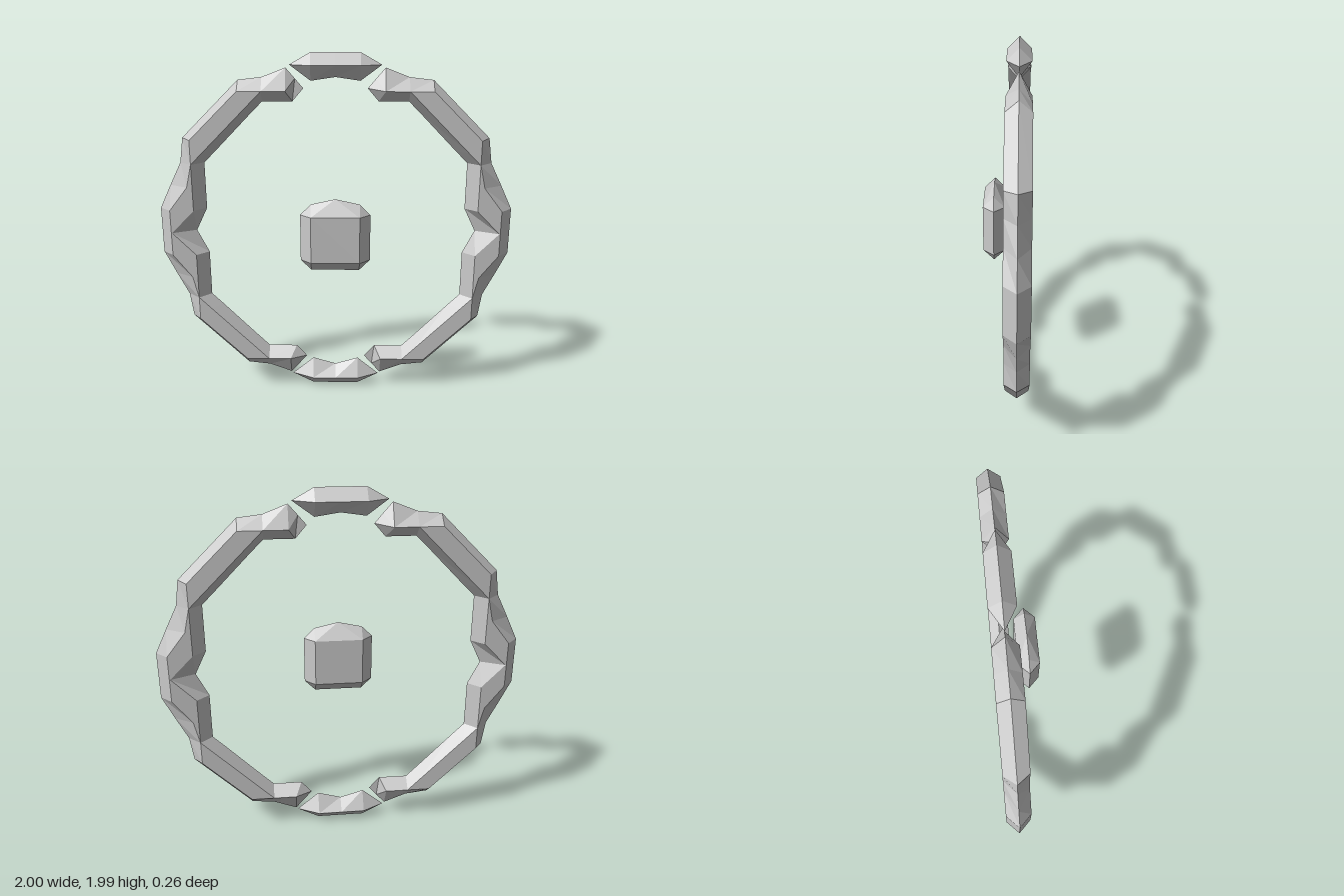
import * as THREE from 'three';
import { ConvexGeometry } from 'three/addons/geometries/ConvexGeometry.js';

const MID = -0.065; // middle plane of the ring
const material = new THREE.MeshStandardMaterial({ color: 0xcccccc, flatShading: true });

// Section: [inner x,y, inner ridge x,y, outer ridge x,y, outer x,y, half depth].
// Sections run clockwise as seen from the front.
function loft(sections) {
  const loops = sections.map(([ix, iy, ax, ay, bx, by, ox, oy, d]) => [
    [ix, iy, MID], [ax, ay, MID + d], [bx, by, MID + d],
    [ox, oy, MID], [bx, by, MID - d], [ax, ay, MID - d],
  ].map((p) => new THREE.Vector3(...p)));
  const out = [];
  const tri = (a, b, c) => {
    const area = b.clone().sub(a).cross(c.clone().sub(a)).length();
    if (area > 1e-7) for (const p of [a, b, c]) out.push(p.x, p.y, p.z);
  };
  for (let s = 0; s + 1 < loops.length; s++) {
    for (let j = 0; j < 6; j++) {
      const k = (j + 1) % 6;
      const a = loops[s][j], b = loops[s + 1][j], c = loops[s + 1][k], d = loops[s][k];
      tri(a, b, c);
      tri(a, c, d);
    }
  }
  const geometry = new THREE.BufferGeometry();
  geometry.setAttribute('position', new THREE.Float32BufferAttribute(out, 3));
  geometry.computeVertexNormals();
  return geometry;
}

const flipX = (s) => s.map((v, i) => (i < 8 && i % 2 === 0 ? -v : v));
const flipY = (s) => s.map((v, i) => (i < 8 && i % 2 === 1 ? 2.005 - v : v));

export function createModel() {
  const model = new THREE.Group();
  model.name = 'ringWithGem';
  const add = (name, geometry) => {
    const mesh = new THREE.Mesh(geometry, material);
    mesh.name = name;
    model.add(mesh);
  };

  // Side arcs: one quarter, mirrored down and across
  const D = 0.065;
  const quarter = [
    [0.175, 1.81, 0.22, 1.863, 0.22, 1.863, 0.27, 1.92, 0],
    [0.235, 1.74, 0.27, 1.80, 0.27, 1.80, 0.27, 1.92, D],
    [0.40, 1.74, 0.40, 1.80, 0.40, 1.80, 0.40, 1.87, D],
    [0.47, 1.67, 0.47, 1.73, 0.53, 1.80, 0.53, 1.855, D],
    [0.67, 1.465, 0.73, 1.47, 0.80, 1.535, 0.85, 1.54, D],
    [0.735, 1.40, 0.80, 1.40, 0.80, 1.40, 0.87, 1.40, D],
    [0.735, 1.27, 0.80, 1.27, 0.83, 1.27, 0.935, 1.27, D],
    [0.735, 1.135, 0.80, 1.135, 0.935, 1.135, 1.0, 1.135, D],
  ];
  const waist = [0.80, 1.0025, 0.93, 1.0025, 0.935, 1.0025, 1.0, 1.0025, D];
  const arc = [...quarter, waist, ...quarter.map(flipY).reverse()];
  add('leftArc', loft(arc));
  add('rightArc', loft(arc.map(flipX).reverse()));

  // Separate links at the top and bottom of the ring
  const link = (tip, ridge, inner, innerMid, outer) => {
    const half = [
      [tip, ridge, tip, ridge, tip, ridge, tip, ridge, 0],
      [0.135, inner, 0.135, ridge, 0.135, ridge, 0.135, outer, D],
    ];
    const middle = [0, innerMid, 0, ridge, 0, ridge, 0, outer, D];
    return [...half, middle, ...half.map(flipX).reverse()];
  };
  add('topLink', loft(link(0.25, 1.935, 1.85, 1.87, 2.0).reverse()));
  add('bottomLink', loft(link(0.26, 0.075, 0.18, 0.14, 0.01)));

  // Chamfered gem floating in front of the ring's centre
  const points = [new THREE.Vector3(0, 1.225, 0.068)];
  for (const x of [-1, 1]) {
    for (const [px, py] of [[0.195, 0.87], [0.195, 1.135], [0.135, 1.195], [0.135, 0.81]]) {
      points.push(new THREE.Vector3(x * px, py, 0.068));
    }
    for (const y of [0.87, 1.135]) {
      for (const z of [0.008, 0.128]) points.push(new THREE.Vector3(x * 0.135, y, z));
    }
  }
  add('centreGem', new ConvexGeometry(points));

  return model;
}
